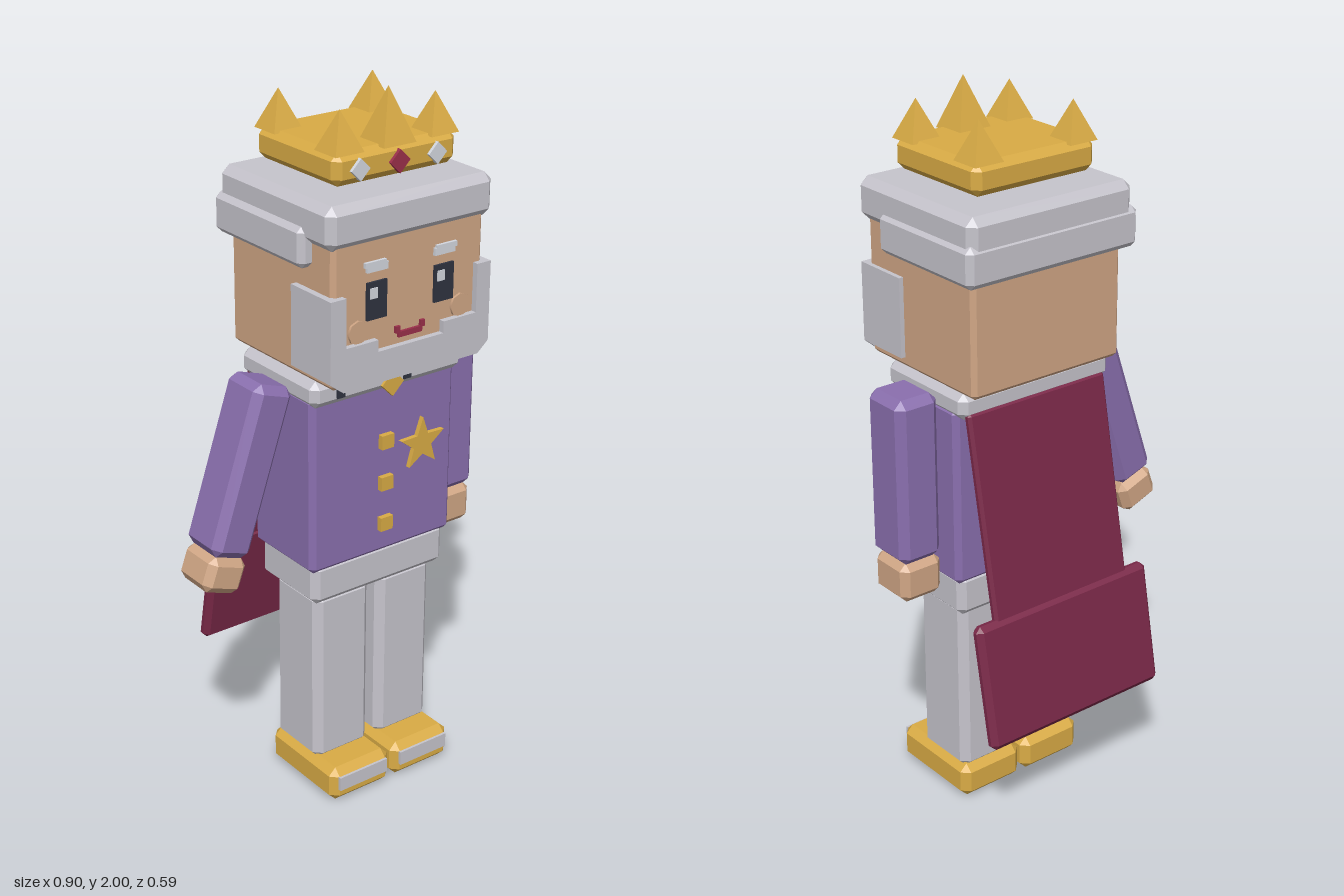
import * as THREE from 'three';
import { ConvexGeometry } from 'three/addons/geometries/ConvexGeometry.js';

const paint = (name, color) => {
  const m = new THREE.MeshStandardMaterial({ color });
  m.name = name;
  return m;
};

export function createModel() {
  const gold = paint('gold', 0xd9ab45);
  const purple = paint('purple', 0x8a6fae);
  const silver = paint('silver', 0xc6c4cc);
  const skin = paint('skin', 0xd0a685);
  const crimson = paint('crimson', 0x7a2848);
  const dark = paint('dark', 0x2f3340);
  const pale = paint('pale', 0xd3d7df);
  const mouthRed = paint('mouthRed', 0x9a2f4a);

  const model = new THREE.Group();
  model.name = 'king';
  const CX = 0.08; // body axis

  const add = (name, geometry, material, x = 0, y = 0, z = 0) => {
    const mesh = new THREE.Mesh(geometry, material);
    mesh.name = name;
    mesh.position.set(x, y, z);
    model.add(mesh);
    return mesh;
  };

  // Box with every edge cut off at c
  const bevelBox = (w, h, d, c) => {
    const pts = [];
    for (const sx of [-1, 1]) for (const sy of [-1, 1]) for (const sz of [-1, 1]) {
      const x = w / 2, y = h / 2, z = d / 2;
      pts.push(
        new THREE.Vector3(sx * x, sy * (y - c), sz * (z - c)),
        new THREE.Vector3(sx * (x - c), sy * y, sz * (z - c)),
        new THREE.Vector3(sx * (x - c), sy * (y - c), sz * z));
    }
    return new ConvexGeometry(pts);
  };

  // Box given by its limits on each axis
  const block = (name, mat, x0, x1, y0, y1, z0, z1, c = 0.02) =>
    add(name, c ? bevelBox(x1 - x0, y1 - y0, z1 - z0, c) : new THREE.BoxGeometry(x1 - x0, y1 - y0, z1 - z0),
      mat, (x0 + x1) / 2, (y0 + y1) / 2, (z0 + z1) / 2);

  const plate = (name, mat, x, y, z, w, h, t = 0.009) =>
    add(name, new THREE.BoxGeometry(w, h, t), mat, x, y, z);

  const extrude = (points, depth) => new THREE.ExtrudeGeometry(
    new THREE.Shape(points.map(([x, y]) => new THREE.Vector2(x, y))), { depth, bevelEnabled: false });

  const diamond = (name, mat, x, y, z, r, t) =>
    add(name, extrude([[0, -r], [r, 0], [0, r], [-r, 0]], t), mat, x, y, z);

  // Shoes and legs
  for (const [side, x] of [['right', -0.028], ['left', 0.186]]) {
    block(side + 'Shoe', gold, x - 0.102, x + 0.102, 0, 0.105, -0.05, 0.25, 0.022);
    plate(side + 'ShoeTrim', silver, x, 0.063, 0.252, 0.165, 0.042);
    block(side + 'Leg', silver, x - 0.093, x + 0.093, 0.09, 0.62, -0.037, 0.16, 0.022);
  }

  // Body
  block('hips', silver, -0.145, 0.305, 0.605, 0.73, -0.068, 0.182);
  block('torso', purple, -0.16, 0.318, 0.71, 1.22, -0.075, 0.19, 0.015);
  block('collar', silver, -0.172, 0.325, 1.2, 1.275, -0.115, 0.215);
  [-0.087, 0.024, 0.13, 0.236].forEach((x, i) =>
    plate('collarSpot', dark, x, i % 2 ? 1.248 : 1.235, 0.216, 0.025, 0.028));
  diamond('clasp', gold, CX, 1.22, 0.21, 0.036, 0.012);

  // Buttons and star badge
  for (const y of [1.046, 0.924, 0.803]) plate('button', gold, CX, y, 0.196, 0.04, 0.04, 0.02);
  const star = [];
  for (let i = 0; i < 10; i++) {
    const a = Math.PI / 2 + i * Math.PI / 5, r = i % 2 ? 0.031 : 0.076;
    star.push([r * Math.cos(a), r * Math.sin(a)]);
  }
  add('starBadge', extrude(star, 0.016), gold, 0.2, 1.008, 0.188);

  // Arms and hands: the left hangs straight, the right swings out
  block('leftArm', purple, 0.322, 0.453, 0.785, 1.255, -0.02, 0.13, 0.022);
  block('leftHand', skin, 0.32, 0.45, 0.672, 0.787, -0.015, 0.125);
  add('rightArm', bevelBox(0.125, 0.475, 0.15, 0.022), purple, -0.295, 1.026, 0.055).rotation.z = -0.325;
  add('rightHand', bevelBox(0.122, 0.1, 0.14, 0.02), skin, -0.384, 0.752, 0.055).rotation.z = -0.35;

  // Cape
  add('capeUpper', bevelBox(0.455, 0.58, 0.026, 0.008), crimson, CX, 0.935, -0.16).rotation.x = 0.186;
  add('capeLower', bevelBox(0.587, 0.352, 0.042, 0.015), crimson, CX, 0.495, -0.246).rotation.x = 0.186;

  // Head and hair
  block('head', skin, -0.162, 0.322, 1.275, 1.7, -0.16, 0.28, 0.012);
  block('hairTop', silver, -0.183, 0.343, 1.645, 1.76, -0.185, 0.296, 0.022);
  block('hairBand', silver, -0.197, 0.353, 1.58, 1.69, -0.189, 0.195, 0.016);

  // Beard: a cut-out front with side pieces
  add('beardFront', extrude([
    [-0.18, 1.305], [-0.14, 1.275], [0.3, 1.275], [0.335, 1.305], [0.335, 1.525], [0.29, 1.525],
    [0.29, 1.392], [0.182, 1.392], [0.182, 1.36], [-0.03, 1.36], [-0.03, 1.392], [-0.132, 1.392],
    [-0.132, 1.525], [-0.18, 1.525]], 0.02), silver, 0, 0, 0.277);
  block('beardSide', silver, -0.18, -0.155, 1.305, 1.525, 0.13, 0.28, 0);
  block('beardSide', silver, 0.315, 0.335, 1.305, 1.525, 0.13, 0.28, 0);

  // Face
  for (const s of [-1, 1]) {
    const x = CX + s * 0.108;
    plate('eye', dark, x, 1.495, 0.282, 0.063, 0.1);
    plate('eyeGlint', pale, x - 0.012, 1.516, 0.285, 0.023, 0.028);
    plate('eyebrow', pale, x, 1.582, 0.284, 0.066, 0.02);
    plate('eyebrowEnd', pale, x + s * 0.006, 1.592, 0.284, 0.066, 0.014);
    plate('mouthCorner', mouthRed, CX + s * 0.04, 1.4, 0.284, 0.014, 0.018);
    const cheek = add('cheek', new THREE.CylinderGeometry(0.032, 0.032, 0.014, 8), skin, CX + s * 0.165, 1.42, 0.28);
    cheek.rotation.x = Math.PI / 2;
  }
  plate('mouth', mouthRed, CX, 1.386, 0.284, 0.076, 0.015);

  // Crown: band, pyramid points and gems
  block('crownBand', gold, -0.114, 0.273, 1.78, 1.866, -0.115, 0.227, 0.02);
  const spike = (x, z, w, h) => {
    const g = new THREE.ConeGeometry(w / Math.SQRT2, h, 4).rotateY(Math.PI / 4).toNonIndexed();
    g.computeVertexNormals();
    add('crownPoint', g, gold, x, 1.86 + h / 2, z);
  };
  for (const x of [-0.07, 0.23]) {
    spike(x, -0.072, 0.088, 0.104);
    spike(x, 0.183, 0.088, 0.104);
  }
  spike(CX, 0.183, 0.102, 0.14);
  diamond('silverGem', pale, -0.043, 1.82, 0.222, 0.029, 0.014);
  diamond('silverGem', pale, 0.2, 1.82, 0.222, 0.029, 0.014);
  diamond('redGem', mouthRed, CX, 1.82, 0.222, 0.031, 0.014);

  return model;
}
